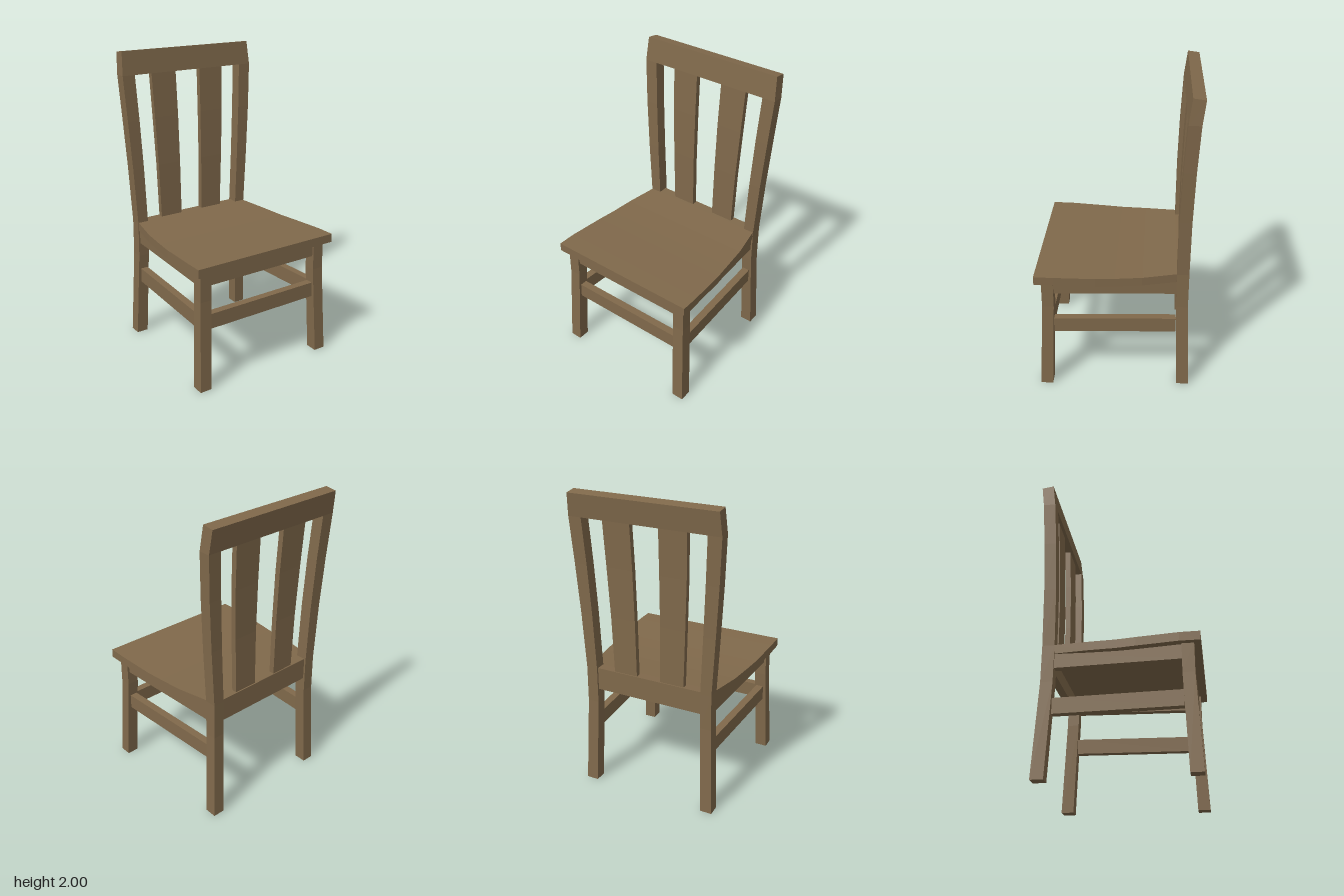
import * as THREE from 'three';

// Four-sided beam along an axis (0 x, 1 y, 2 z). Each section is
// [t, u0, u1, v0, v1], where u and v are the next two axes in cyclic order.
function beam(axis, sections) {
  const u = (axis + 1) % 3, v = (axis + 2) % 3, pos = [];
  const rings = sections.map(([t, u0, u1, v0, v1]) =>
    [[u0, v0], [u1, v0], [u1, v1], [u0, v1]].map(([a, b]) => {
      const p = [0, 0, 0];
      p[axis] = t; p[u] = a; p[v] = b;
      return p;
    }));
  const quad = (a, b, c, d) => pos.push(...a, ...b, ...c, ...a, ...c, ...d);
  for (let k = 0; k < rings.length - 1; k++) {
    const a = rings[k], b = rings[k + 1];
    for (let i = 0; i < 4; i++) {
      const j = (i + 1) % 4;
      quad(a[i], a[j], b[j], b[i]);
    }
  }
  const s = rings[0], e = rings[rings.length - 1];
  quad(s[3], s[2], s[1], s[0]);
  quad(e[0], e[1], e[2], e[3]);
  const geo = new THREE.BufferGeometry();
  geo.setAttribute('position', new THREE.Float32BufferAttribute(pos, 3));
  geo.computeVertexNormals();
  return geo;
}

// x range for one side of the chair, kept in increasing order
const span = (side, inner, outer) => side > 0 ? [inner, outer] : [-outer, -inner];

export function createModel() {
  const group = new THREE.Group();
  group.name = 'chair';
  const wood = new THREE.MeshStandardMaterial({ color: 0x80694b });
  wood.name = 'brown wood';
  const add = (name, geo) => {
    const mesh = new THREE.Mesh(geo, wood);
    mesh.name = name;
    group.add(mesh);
  };

  // Dished seat, notched at the back to fit between the posts
  const seat = [
    // z, half width, bottom, top
    [-0.45, 0.37, 0.787, 0.845], [-0.385, 0.37, 0.785, 0.843], [-0.385, 0.437, 0.785, 0.843],
    [-0.17, 0.475, 0.777, 0.833], [0, 0.491, 0.774, 0.83], [0.12, 0.504, 0.776, 0.832],
    [0.38, 0.518, 0.785, 0.841], [0.505, 0.518, 0.785, 0.842],
  ];
  add('seat', beam(2, seat.map(([z, w, y0, y1]) => [z, -w, w, y0, y1])));

  for (const side of [1, -1]) {
    const tag = side > 0 ? 'left' : 'right';
    // Front leg with splayed foot
    add(tag + 'FrontLeg', beam(1, [
      [0, 0.415, 0.495, ...span(side, 0.425, 0.505)],
      [0.6, 0.39, 0.465, ...span(side, 0.403, 0.481)],
      [0.785, 0.39, 0.465, ...span(side, 0.402, 0.48)],
    ]));
    // Back leg and post in one curved piece
    add(tag + 'BackPost', beam(1, [
      [0, -0.49, -0.41, ...span(side, 0.387, 0.467)],
      [0.6, -0.463, -0.387, ...span(side, 0.367, 0.442)],
      [0.84, -0.462, -0.385, ...span(side, 0.366, 0.44)],
      [1.22, -0.463, -0.386, ...span(side, 0.381, 0.461)],
      [1.55, -0.472, -0.395, ...span(side, 0.396, 0.481)],
      [1.845, -0.487, -0.41, ...span(side, 0.41, 0.497)],
    ]));
    // Back slat
    add(tag + 'BackSlat', beam(1, [
      [0.835, -0.442, -0.406, ...span(side, 0.083, 0.243)],
      [1.22, -0.443, -0.407, ...span(side, 0.087, 0.255)],
      [1.55, -0.452, -0.416, ...span(side, 0.09, 0.268)],
      [1.85, -0.467, -0.431, ...span(side, 0.094, 0.277)],
    ]));
    // Side apron and stretcher
    for (const [name, y0, y1] of [['SideApron', 0.693, 0.785], ['SideStretcher', 0.4, 0.5]]) {
      add(tag + name, beam(2, [
        [-0.39, ...span(side, 0.38, 0.43), y0, y1],
        [0.395, ...span(side, 0.417, 0.467), y0, y1],
      ]));
    }
  }

  // Cross rails between the legs
  const rail = (name, w, y0, y1, z0, z1) =>
    add(name, beam(0, [[-w, y0, y1, z0, z1], [w, y0, y1, z0, z1]]));
  rail('frontApron', 0.405, 0.693, 0.785, 0.403, 0.453);
  rail('frontStretcher', 0.41, 0.4, 0.5, 0.405, 0.455);
  rail('backApron', 0.37, 0.693, 0.787, -0.45, -0.4);

  // Crest rail leaning back, its top edge square to the lean
  const crest = beam(1, [
    [1.845, -0.487, -0.41, -0.497, 0.497],
    [2, -0.505, -0.43, -0.487, 0.487],
  ]);
  const p = crest.attributes.position;
  for (let i = 0; i < p.count; i++) {
    if (p.getY(i) > 1.99 && p.getZ(i) < -0.47) p.setY(i, 1.99);
  }
  crest.computeVertexNormals();
  add('crestRail', crest);

  return group;
}
